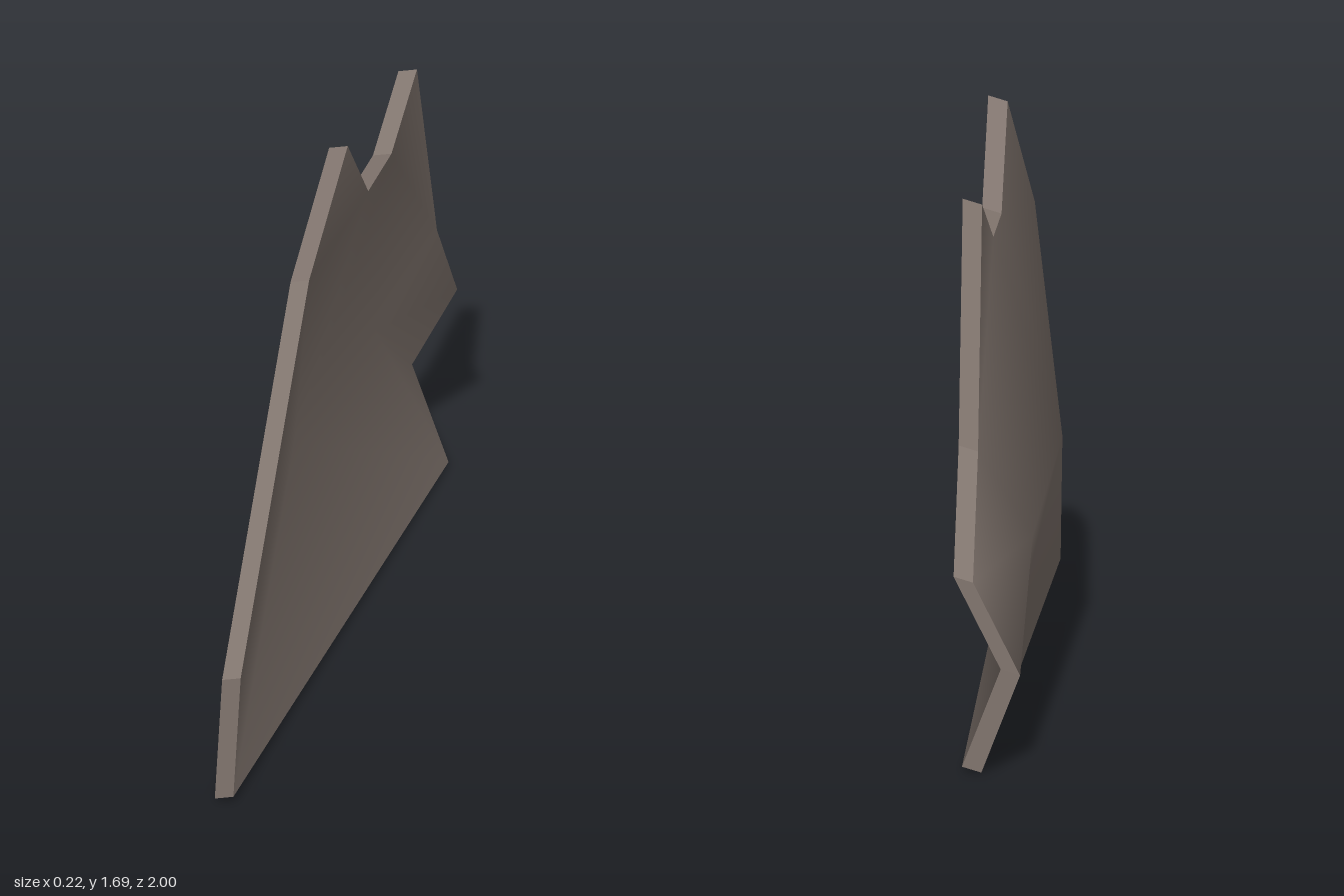
import * as THREE from 'three';

// Outline of the plate's inner face, clockwise seen from +x: [x, y, z]
const OUTLINE = [
  [-0.01, 0.01, 1], [0.012, 0.41, 1], [-0.014, 1.32, 0.27], [0.045, 1.677, 0.09],
  [0.04, 1.406, -0.12], [0.04, 1.406, -0.34], [0.05, 1.57, -0.55], [0.037, 0.9, -0.78],
  [0.028, 0.575, -1], [-0.108, 0.3, -1], [0.005, 0, -0.99],
];
// Two inner points where the plate is dented inwards
const DENTS = [[-0.112, 0.67, 0.1], [-0.107, 0.61, -0.65]];
const FACES = [
  0, 1, 11, 1, 2, 11, 2, 3, 4, 2, 4, 11, 4, 5, 11, 5, 12, 11, 5, 7, 12,
  5, 6, 7, 7, 8, 12, 8, 9, 12, 9, 10, 12, 11, 12, 10, 10, 0, 11,
];
const THICKNESS = [0.056, 0.016, 0];

function surface(points, index) {
  const g = new THREE.BufferGeometry();
  g.setAttribute('position', new THREE.Float32BufferAttribute(points.flat(), 3));
  if (index) g.setIndex(index);
  g.computeVertexNormals();
  return g;
}

export function createModel() {
  const group = new THREE.Group();
  group.name = 'bentPlate';
  const material = new THREE.MeshStandardMaterial({ color: 0x82766f });
  material.name = 'grey brown';
  const add = (name, geometry) => {
    const mesh = new THREE.Mesh(geometry, material);
    mesh.name = name;
    group.add(mesh);
  };

  const inner = [...OUTLINE, ...DENTS];
  const outer = inner.map((p) => p.map((v, i) => v + THICKNESS[i]));

  // Smooth broad sides
  add('innerSide', surface(inner, FACES));
  add('outerSide', surface(outer, [...FACES].reverse()));

  // Flat rim joining both sides
  const rim = [];
  const n = OUTLINE.length;
  for (let i = 0; i < n; i++) {
    const j = (i + 1) % n;
    rim.push(inner[i], outer[i], inner[j], inner[j], outer[i], outer[j]);
  }
  add('rim', surface(rim));
  return group;
}
